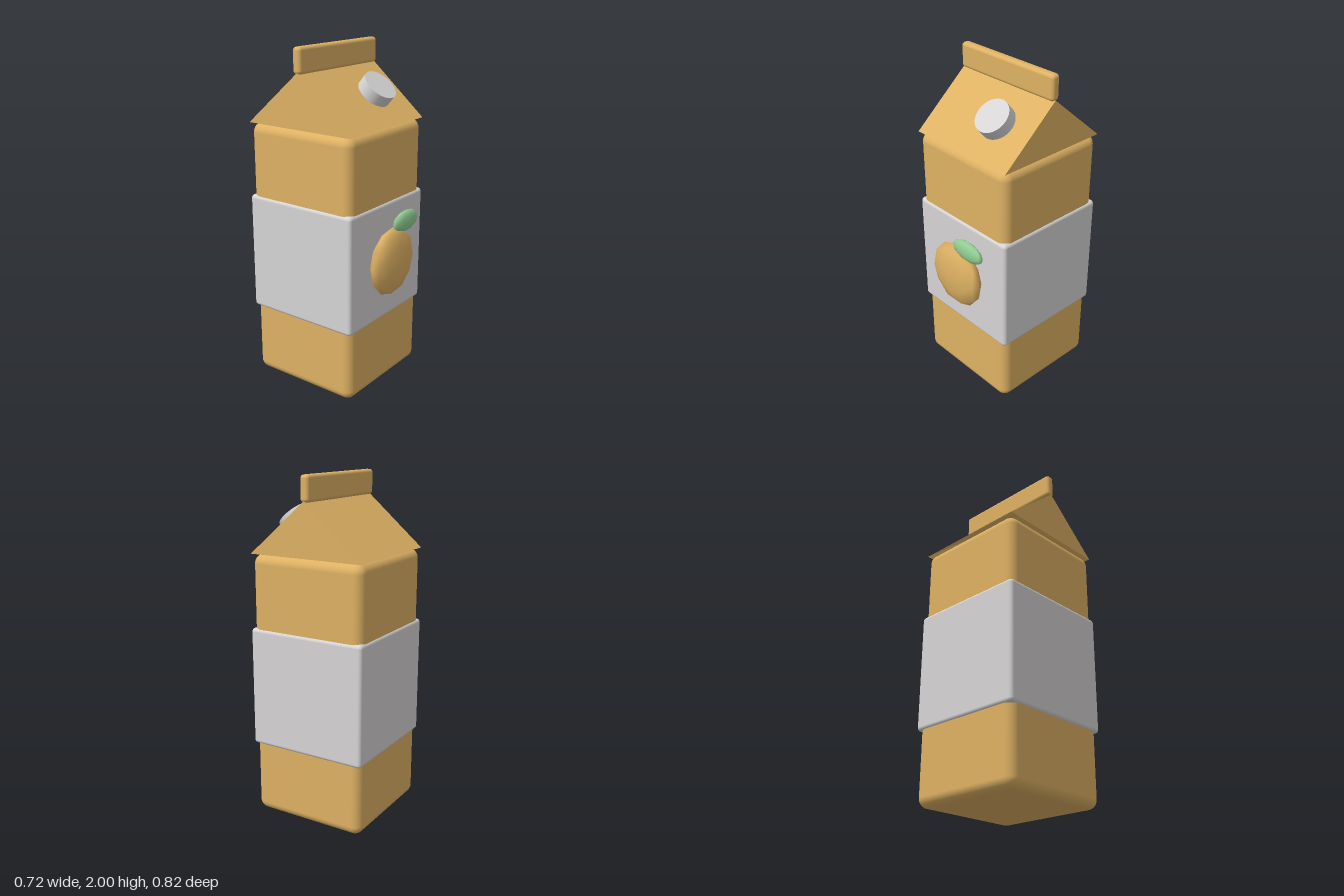
import * as THREE from 'three';
import { RoundedBoxGeometry } from 'three/addons/geometries/RoundedBoxGeometry.js';

const CENTER_Z = -0.05;
const HALF = 0.353;
const EAVE_Y = 1.56;
const RIDGE_Y = 1.862;

function makeMaterial(name, color, side = THREE.FrontSide) {
  const material = new THREE.MeshStandardMaterial({ color, side });
  material.name = name;
  return material;
}

// Gabled roof shell, open underneath
function roofGeometry() {
  const h = HALF;
  const corners = [
    [-h, EAVE_Y, CENTER_Z + h], [h, EAVE_Y, CENTER_Z + h],
    [h, EAVE_Y, CENTER_Z - h], [-h, EAVE_Y, CENTER_Z - h],
    [-h, RIDGE_Y, CENTER_Z], [h, RIDGE_Y, CENTER_Z],
  ];
  const faces = [0, 1, 5, 0, 5, 4, 2, 3, 4, 2, 4, 5, 1, 2, 5, 3, 0, 4];
  const geometry = new THREE.BufferGeometry();
  geometry.setAttribute('position',
    new THREE.Float32BufferAttribute(faces.flatMap((i) => corners[i]), 3));
  geometry.computeVertexNormals();
  return geometry;
}

export function createModel() {
  const group = new THREE.Group();
  group.name = 'juiceCarton';

  const orange = makeMaterial('carton orange', 0xdeb163, THREE.DoubleSide);
  const grey = makeMaterial('light grey', 0xd6d4d4);
  const green = makeMaterial('leaf green', 0x93d094);

  function add(name, geometry, material, x = 0, y = 0, z = 0) {
    const mesh = new THREE.Mesh(geometry, material);
    mesh.name = name;
    mesh.position.set(x, y, z);
    group.add(mesh);
    return mesh;
  }

  // Carton body and wrapped label band
  add('body', new RoundedBoxGeometry(HALF * 2, EAVE_Y - 0.003, HALF * 2, 5, 0.055),
    orange, 0, EAVE_Y / 2, CENTER_Z);
  add('labelBand', new RoundedBoxGeometry(0.724, 0.705, 0.724, 4, 0.022),
    grey, 0, 0.782, CENTER_Z);

  // Gable top and sealed fin
  add('roof', roofGeometry(), orange);
  add('topFin', new RoundedBoxGeometry(HALF * 2, 0.145, 0.055, 4, 0.02),
    orange, 0, 1.9275, CENTER_Z - 0.002);

  // Screw cap, square to the front slope
  const tilt = Math.atan2(HALF, RIDGE_Y - EAVE_Y);
  const capDepth = 0.12;
  const lean = Math.PI / 2 - tilt;
  const cap = add('cap', new THREE.CylinderGeometry(0.103, 0.103, capDepth, 32), grey,
    0.112, 1.767 - Math.cos(lean) * capDepth / 2, 0.17 - Math.sin(lean) * capDepth / 2);
  cap.rotation.x = lean;

  // Raised fruit and leaf on the label
  const fruit = add('fruit', new THREE.IcosahedronGeometry(1, 1), orange, -0.002, 0.785, 0.345);
  fruit.scale.set(0.2, 0.205, 0.066);
  const leaf = add('leaf', new THREE.IcosahedronGeometry(1, 1), green, 0.112, 1.003, 0.358);
  leaf.scale.set(0.125, 0.064, 0.029);

  return group;
}
